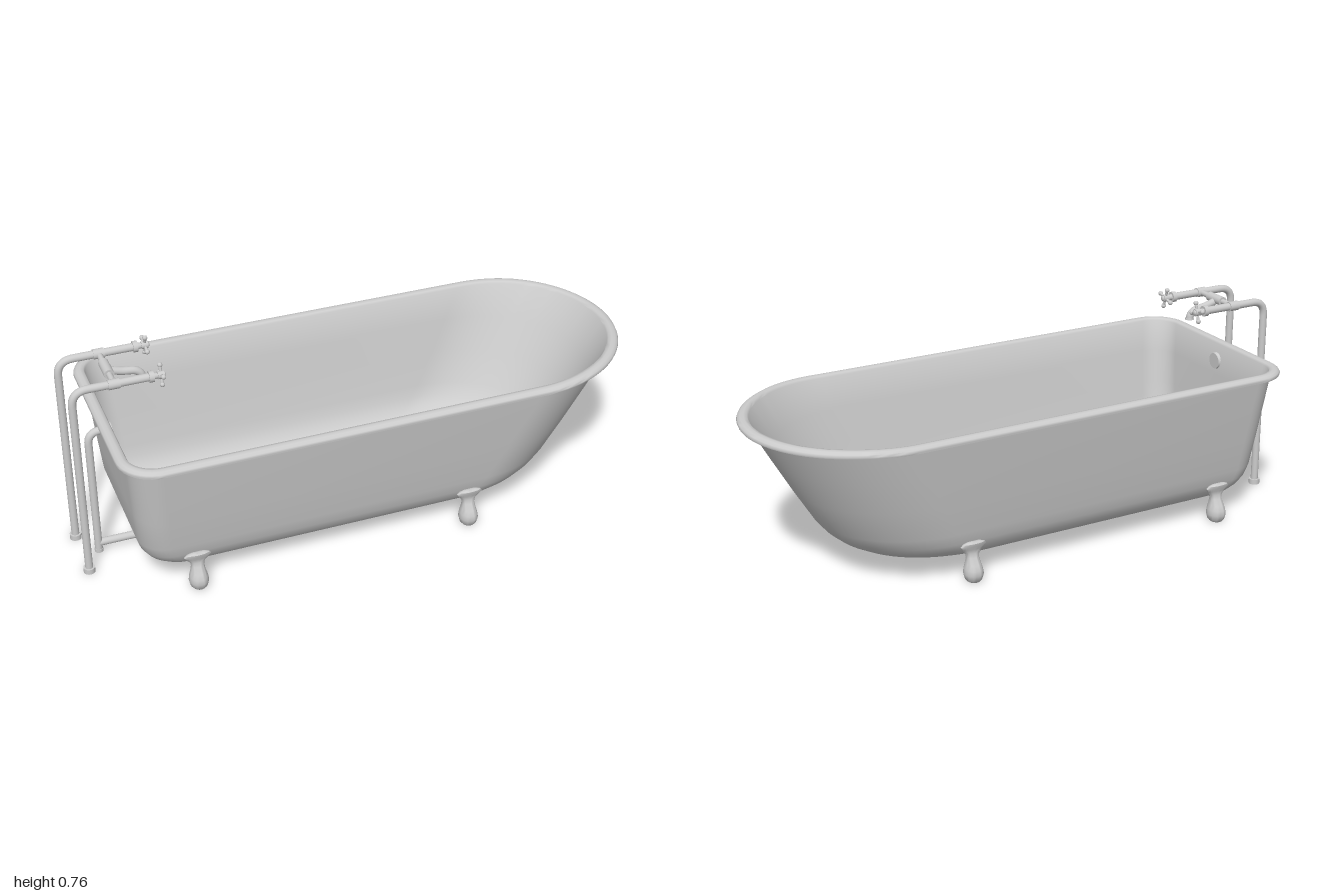
import * as THREE from 'three';
import { toCreasedNormals } from 'three/addons/utils/BufferGeometryUtils.js';

const material = new THREE.MeshStandardMaterial({ color: 0xcccccc });
const V = (x, y, z) => new THREE.Vector3(x, y, z);

function add(parent, name, geometry) {
  const mesh = new THREE.Mesh(geometry, material);
  mesh.name = name;
  parent.add(mesh);
  return mesh;
}

// Skin a stack of closed rings that all have the same number of points
function loft(rings) {
  const n = rings[0].length, index = [];
  for (let i = 0; i < rings.length - 1; i++) {
    for (let j = 0; j < n; j++) {
      const k = (j + 1) % n;
      const a = i * n + j, b = i * n + k, c = a + n, d = b + n;
      if (!rings[i][j].equals(rings[i][k])) index.push(a, c, b);
      if (!rings[i + 1][j].equals(rings[i + 1][k])) index.push(b, c, d);
    }
  }
  const geometry = new THREE.BufferGeometry().setFromPoints(rings.flat());
  geometry.setIndex(index);
  return toCreasedNormals(geometry, 0.8);
}

// Pipe through points, with rounded bends
function pipe(points, radius, bend) {
  const path = new THREE.CurvePath();
  let start = points[0];
  for (let i = 1; i < points.length - 1; i++) {
    const p = points[i];
    const toward = q => p.clone().add(q.clone().sub(p).setLength(bend));
    const a = toward(points[i - 1]), b = toward(points[i + 1]);
    path.add(new THREE.LineCurve3(start, a));
    path.add(new THREE.QuadraticBezierCurve3(a, p, b));
    start = b;
  }
  path.add(new THREE.LineCurve3(start, points[points.length - 1]));
  return new THREE.TubeGeometry(path, 90, radius, 16);
}

// Cylinder running along x from x0 to x1
function rodX(x0, x1, y, z, r0, r1 = r0) {
  return new THREE.CylinderGeometry(r1, r0, x1 - x0, 20)
    .rotateZ(-Math.PI / 2).translate((x0 + x1) / 2, y, z);
}

// Tub outline at one height: round right end, two small corners at the left
function outline(y, xl, xr, w, rc, a) {
  const points = [];
  const arc = (cx, cz, rx, rz, from, to, steps) => {
    for (let i = 0; i <= steps; i++) {
      const t = (from + (to - from) * i / steps) * Math.PI / 2;
      const x = cx + rx * Math.cos(t);
      const rise = y > 0.5 ? 0.006 * THREE.MathUtils.smoothstep(x, 0.5, 0.8) : 0;
      points.push(V(x, y + rise, cz + rz * Math.sin(t)));
    }
  };
  arc(xr - a, 0, a, w, -1, 1, 40);
  arc(xl + rc, w - rc, rc, rc, 1, 2, 10);
  arc(xl + rc, rc - w, rc, rc, 2, 3, 10);
  return points;
}

function tubGeometry() {
  // y, left end, right end, half width, corner radius, length of round end
  const wall = [
    [0.065, -0.6, 0.4, 0.15, 0.08, 0.26],
    [0.07, -0.727, 0.55, 0.235, 0.09, 0.31],
    [0.076, -0.756, 0.60, 0.257, 0.095, 0.325],
    [0.088, -0.782, 0.642, 0.274, 0.1, 0.335],
    [0.11, -0.805, 0.682, 0.291, 0.1, 0.345],
    [0.14, -0.823, 0.717, 0.304, 0.1, 0.352],
    [0.18, -0.835, 0.75, 0.313, 0.1, 0.36],
    [0.3, -0.846, 0.822, 0.334, 0.1, 0.37],
    [0.42, -0.856, 0.89, 0.354, 0.1, 0.38],
    [0.535, -0.866, 0.957, 0.372, 0.1, 0.39],
  ];
  const grow = ([y, xl, xr, w, rc, a], d, up) =>
    outline(y + up, xl - d, xr + d, w + d, rc + d, a + d);
  const top = wall[wall.length - 1];
  // rolled rim: outward offset and rise
  const rim = [[0.023, -0.005], [0.029, -0.003], [0.031, 0.003], [0.028, 0.01],
    [0.019, 0.016], [0.007, 0.018], [-0.004, 0.016], [-0.009, 0.009]];
  const flat = y => Array(wall && outline(...top).length).fill(V(-0.1, y, 0));
  return loft([
    flat(0.063),
    ...wall.map(r => grow(r, 0, 0)),
    ...rim.map(([d, up]) => grow(top, d, up)),
    ...wall.slice(0, -1).reverse().map(r => grow(r, -0.011, 0.012)),
    flat(0.076),
  ]);
}

// Claw foot: ball below, narrow ankle, spread knee against the tub
function footGeometry() {
  // y, inner z, outer z, half width
  const rows = [
    [0, 0.304, 0.304, 0], [0, 0.28, 0.33, 0.022], [0.008, 0.272, 0.337, 0.029],
    [0.028, 0.266, 0.343, 0.034], [0.045, 0.267, 0.341, 0.031], [0.062, 0.271, 0.333, 0.026],
    [0.085, 0.278, 0.318, 0.022], [0.1, 0.283, 0.312, 0.026], [0.115, 0.289, 0.314, 0.04],
    [0.128, 0.293, 0.32, 0.047], [0.138, 0.297, 0.322, 0.04], [0.143, 0.302, 0.318, 0.024],
    [0.143, 0.31, 0.31, 0],
  ];
  return loft(rows.map(([y, z0, z1, hx]) => Array.from({ length: 24 }, (_, i) => {
    const t = i / 24 * Math.PI * 2;
    return V(hx * Math.cos(t), y, (z0 + z1) / 2 + (z1 - z0) / 2 * Math.sin(t));
  })));
}

// Four-armed tap handle facing +x
function tapHandle(side) {
  const handle = new THREE.Group();
  handle.name = 'tapHandle';
  add(handle, 'handleHub', rodX(-0.012, 0.01, 0, 0, 0.013));
  add(handle, 'handleCap', new THREE.SphereGeometry(0.01, 16, 10).scale(0.6, 1, 1).translate(0.01, 0, 0));
  for (let i = 0; i < 4; i++) {
    const arm = new THREE.Group();
    arm.name = 'handleArm';
    add(arm, 'armRod', new THREE.CylinderGeometry(0.006, 0.004, 0.034, 10).translate(0, 0.017, 0));
    add(arm, 'armKnob', new THREE.SphereGeometry(0.0085, 14, 10).translate(0, 0.033, 0));
    arm.rotation.x = i * Math.PI / 2 - side * 0.3;
    handle.add(arm);
  }
  return handle;
}

export function createModel() {
  const model = new THREE.Group();
  model.name = 'bathtub';
  add(model, 'tub', tubGeometry());

  // Four feet, mirrored front to back
  const foot = footGeometry();
  for (const x of [-0.655, 0.33]) {
    for (const turn of [0, Math.PI]) {
      const mesh = add(model, 'clawFoot', foot);
      mesh.position.x = x;
      mesh.rotation.y = turn;
    }
  }

  // Supply pipes with valves and handles
  const tapY = 0.718;
  for (const side of [1, -1]) {
    const z = side * 0.1;
    add(model, 'supplyPipe', pipe([V(-0.98, 0, z), V(-0.98, tapY, z), V(-0.715, tapY, z)], 0.0135, 0.055));
    add(model, 'floorCollar', new THREE.CylinderGeometry(0.02, 0.02, 0.019, 20).translate(-0.98, 0.0095, z));
    add(model, 'pipeJoint', rodX(-0.86, -0.822, tapY, z, 0.017));
    add(model, 'valveCollar', rodX(-0.726, -0.71, tapY, z, 0.019));
    add(model, 'valveStem', rodX(-0.71, -0.685, tapY, z, 0.011, 0.008));
    const handle = tapHandle(side);
    handle.position.set(-0.685, tapY, z);
    model.add(handle);
  }

  // Mixer bar and spout
  add(model, 'mixerBar', new THREE.CylinderGeometry(0.01, 0.01, 0.2, 16).rotateX(Math.PI / 2).translate(-0.84, tapY, 0));
  add(model, 'mixerBody', new THREE.CylinderGeometry(0.017, 0.017, 0.08, 20).rotateX(Math.PI / 2).translate(-0.84, tapY, 0));
  const spoutPath = new THREE.CatmullRomCurve3([
    V(-0.838, 0.712, 0), V(-0.79, 0.698, 0), V(-0.745, 0.69, 0), V(-0.728, 0.676, 0), V(-0.724, 0.66, 0)]);
  add(model, 'spout', new THREE.TubeGeometry(spoutPath, 30, 0.0135, 16));
  add(model, 'spoutLip', new THREE.CylinderGeometry(0.015, 0.016, 0.006, 20).translate(-0.724, 0.662, 0));

  // Overflow and waste pipes
  add(model, 'overflowPipe', pipe([V(-0.855, 0.488, 0), V(-0.922, 0.488, 0), V(-0.922, 0, 0)], 0.0135, 0.045));
  add(model, 'overflowBase', new THREE.CylinderGeometry(0.015, 0.015, 0.012, 20).translate(-0.922, 0.006, 0));
  add(model, 'overflowCover', rodX(-0.856, -0.842, 0.48, 0, 0.032, 0.029));
  add(model, 'wastePipe', pipe([V(-0.922, 0.035, 0), V(-0.54, 0.035, 0), V(-0.54, 0.07, 0)], 0.0135, 0.03));
  return model;
}
